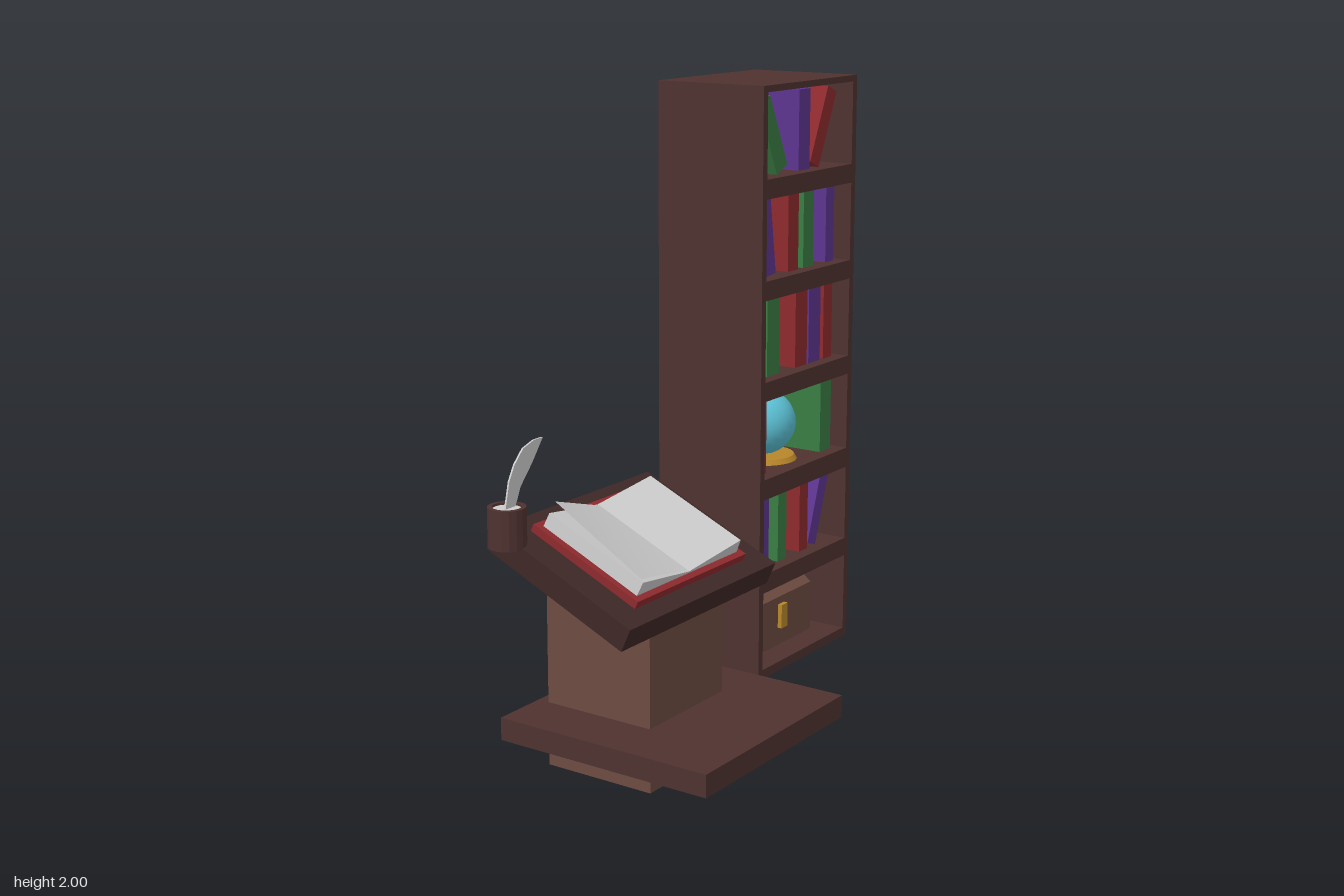
import * as THREE from 'three';

const mat = (color, extra = {}) => new THREE.MeshStandardMaterial({ color, ...extra });
const wood = mat(0x4e3230), darkWood = mat(0x3e2826), lightWood = mat(0x6d4c41);
const gold = mat(0xb8862a), paper = mat(0xcccccc, { side: THREE.DoubleSide });
const colors = { red: mat(0x8e2a2e), green: mat(0x3a7d44), purple: mat(0x5e3590) };

function add(parent, name, geometry, material, x = 0, y = 0, z = 0) {
  const mesh = new THREE.Mesh(geometry, material);
  mesh.name = name;
  mesh.position.set(x, y, z);
  parent.add(mesh);
  return mesh;
}
const box = (parent, name, material, w, h, d, x, y, z) =>
  add(parent, name, new THREE.BoxGeometry(w, h, d), material, x, y, z);

function group(parent, name, x = 0, y = 0, z = 0) {
  const g = new THREE.Group();
  g.name = name;
  g.position.set(x, y, z);
  parent.add(g);
  return g;
}

// Extrudes an outline and centres it along its depth
function extrude(points, depth) {
  const shape = new THREE.Shape(points.map(p => new THREE.Vector2(...p)));
  return new THREE.ExtrudeGeometry(shape, { depth, bevelEnabled: false }).translate(0, 0, -depth / 2);
}

const TILT = THREE.MathUtils.degToRad(24);

function buildLectern(parent) {
  const lectern = group(parent, 'lectern');
  box(lectern, 'basePlate', wood, 0.73, 0.07, 0.73, 0, 0.165, 0.14);

  // Post with its top cut along the slope of the desk
  const post = new THREE.BoxGeometry(0.375, 0.64, 0.375).translate(0, 0.32, 0);
  const p = post.attributes.position;
  for (let i = 0; i < p.count; i++)
    if (p.getY(i) > 0.3) p.setY(i, 0.63 - p.getZ(i) * Math.tan(TILT));
  post.computeVertexNormals();
  add(lectern, 'post', post, lightWood);

  // Sloping desk with the open book on it
  const desk = group(lectern, 'desk', 0, 0.643, 0);
  desk.rotation.x = TILT;
  box(desk, 'deskTop', darkWood, 0.75, 0.076, 0.526, 0, 0, 0);
  box(desk, 'bookCover', colors.red, 0.555, 0.025, 0.407, 0, 0.05, 0);
  const pages = [[-0.255, 0], [0.255, 0], [0.25, 0.045], [0, 0.006], [-0.25, 0.045]];
  add(desk, 'bookPages', extrude(pages, 0.365), paper, 0, 0.0625, 0);

  // Single page lifting off the left half
  const sheet = new THREE.PlaneGeometry(0.255, 0.35).rotateX(-Math.PI / 2).translate(-0.1275, 0.07, 0);
  const s = sheet.attributes.position;
  for (let i = 0; i < s.count; i++)
    if (s.getX(i) < -0.1) s.setY(i, s.getZ(i) < 0 ? 0.155 : 0.117);
  sheet.computeVertexNormals();
  add(desk, 'liftedPage', sheet, paper);

  // Inkwell and quill on the corner
  const ink = group(lectern, 'inkwell', -0.372, 0.735, -0.18);
  const cup = [[0, 0], [0.057, 0], [0.057, 0.12], [0.043, 0.12], [0.043, 0.105]];
  add(ink, 'cup', new THREE.LatheGeometry(cup.map(q => new THREE.Vector2(...q)), 16),
    mat(0x4e3230, { flatShading: true, side: THREE.DoubleSide }));
  add(ink, 'ink', new THREE.CylinderGeometry(0.044, 0.044, 0.01, 16), paper, 0, 0.108, 0);
  const feather = [[-0.012, 0.1], [0.03, 0.1], [0.06, 0.165], [0.115, 0.225], [0.165, 0.29],
    [0.125, 0.29], [0.075, 0.275], [0.035, 0.235], [0.01, 0.19]];
  add(ink, 'quill', extrude(feather, 0.006), paper);
}

// Book standing on a shelf between x0 and x1; a positive lean tips it to the left
function addBook(shelf, color, x0, x1, h, lean = 0) {
  const w = x1 - x0;
  const left = lean >= 0;
  const geometry = new THREE.BoxGeometry(w, h, 0.22).translate(left ? w / 2 : -w / 2, h / 2, 0);
  const mesh = add(shelf, color + 'Book', geometry, colors[color], left ? x0 : x1, 0, 0.04);
  mesh.rotation.z = THREE.MathUtils.degToRad(lean);
}

function buildBookcase(parent) {
  const W = 0.546, D = 0.384, bottom = 0.13, top = 2;
  const bookcase = group(parent, 'bookcase', 0.746, 0, -0.057);

  // Carcass
  for (const side of [-1, 1])
    box(bookcase, 'sidePanel', wood, 0.024, top - bottom, D, side * (W / 2 - 0.012), (top + bottom) / 2, 0);
  box(bookcase, 'backPanel', wood, W - 0.048, top - bottom, 0.03, 0, (top + bottom) / 2, -D / 2 + 0.015);
  const boards = [[0.13, 0.16], [0.415, 0.475], [0.72, 0.785], [1.035, 1.095], [1.35, 1.41], [1.66, 1.72], [1.98, 2]];
  for (const [a, b] of boards)
    box(bookcase, 'shelfBoard', wood, W - 0.048, b - a, D - 0.03, 0, (a + b) / 2, 0.015);

  // Books: colour, left, right, height, lean
  const rows = [
    [0.475, [['purple', -0.21, -0.155, 0.235], ['green', -0.1, -0.05, 0.235], ['red', 0.03, 0.08, 0.235],
      ['purple', 0.08, 0.13, 0.235, -19]]],
    [0.785, [['red', -0.235, -0.175, 0.24], ['green', 0.15, 0.215, 0.24]]],
    [1.095, [['green', -0.175, -0.105, 0.245], ['red', -0.01, 0.06, 0.245], ['purple', 0.07, 0.14, 0.245],
      ['red', 0.16, 0.212, 0.245]]],
    [1.41, [['purple', -0.185, -0.13, 0.24, 8], ['red', -0.06, 0, 0.245], ['green', 0.03, 0.09, 0.245],
      ['purple', 0.165, 0.215, 0.245]]],
    [1.72, [['green', -0.13, -0.065, 0.24, 25], ['purple', -0.005, 0.06, 0.25], ['red', 0.06, 0.115, 0.25, -24]]],
  ];
  for (const [y, books] of rows) {
    const shelf = group(bookcase, 'shelfBooks', 0, y, 0);
    for (const b of books) addBook(shelf, ...b);
  }

  // Globe on a round stand
  const globe = group(bookcase, 'globe', -0.012, 0.785, 0.034);
  add(globe, 'globeStand', new THREE.CylinderGeometry(0.1, 0.11, 0.016, 24), gold, 0, 0.008, 0);
  add(globe, 'globeBall', new THREE.SphereGeometry(0.105, 24, 16), mat(0x5bc0d4), 0, 0.12, 0);

  // Chest with a chamfered lid and a lock plate
  const chest = group(bookcase, 'chest', -0.005, 0.16, 0.105);
  const profile = [[0, 0], [0, 0.165], [0.046, 0.2], [0.18, 0.2], [0.22, 0.165], [0.22, 0]];
  add(chest, 'chestBody', extrude(profile, 0.37).rotateY(Math.PI / 2), lightWood);
  box(chest, 'lock', gold, 0.036, 0.08, 0.03, 0, 0.1, 0);
}

export function createModel() {
  const model = new THREE.Group();
  model.name = 'readingCorner';
  // Both pieces share one diagonal direction
  const furniture = group(model, 'furniture', -0.14, 0, 0.193);
  furniture.rotation.y = THREE.MathUtils.degToRad(55);
  buildLectern(furniture);
  buildBookcase(furniture);
  return model;
}
